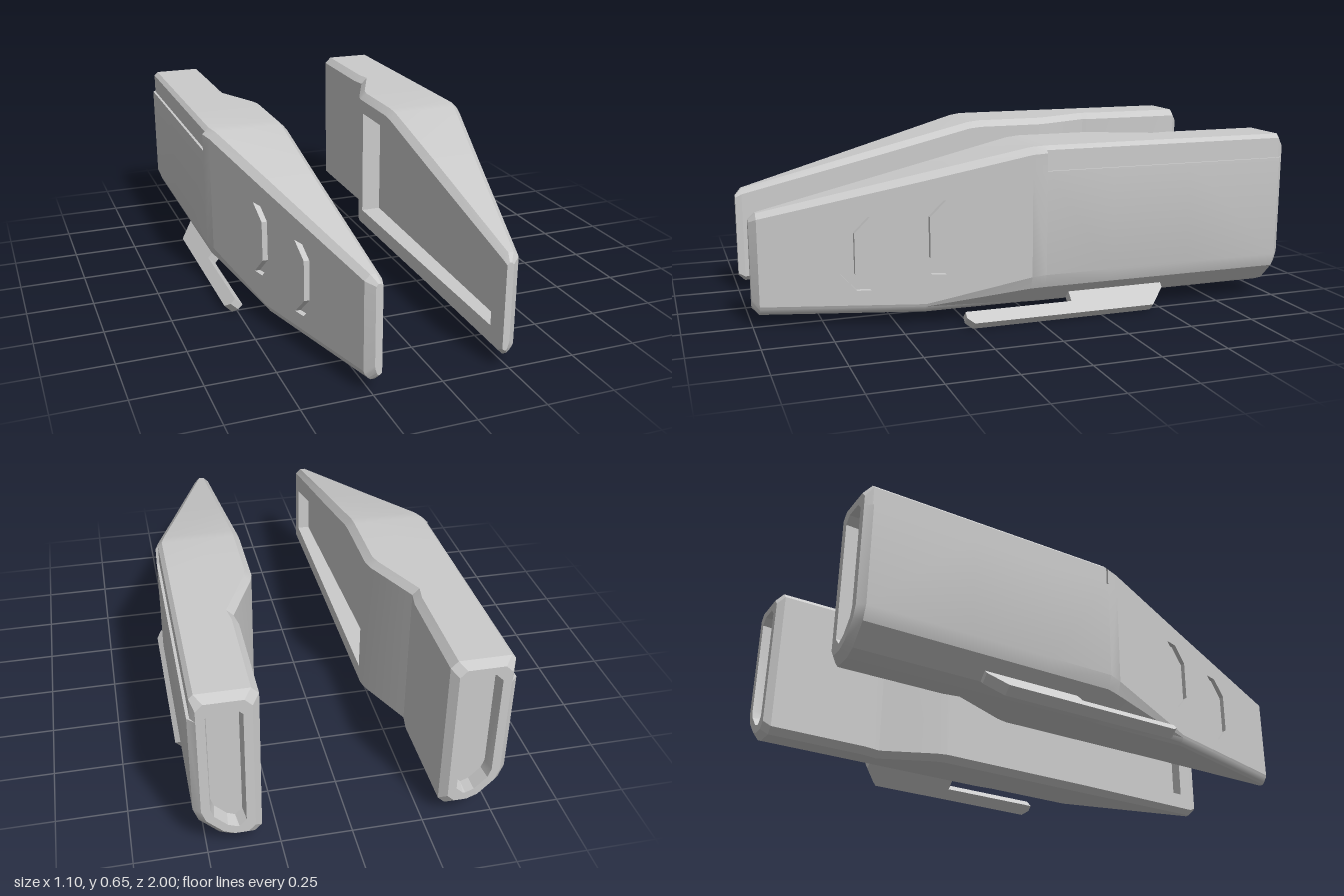
import * as THREE from 'three';
import { toCreasedNormals } from 'three/addons/utils/BufferGeometryUtils.js';

const grey = new THREE.MeshStandardMaterial({ color: 0xcccccc });
const quad = (out, a, b, c, d) => out.push(...a, ...b, ...c, ...a, ...c, ...d);

// Hull outline at one station, running up the inner side and down the outer side
function section({ z, xi, xo, top, bot = 0.045, e = 0, d = 0 }) {
  const t = THREE.MathUtils.clamp((0.4 - z) / 0.4, 0, 1);
  const w = Math.min(1, (xo - xi) / 0.06) * (1 - 6 * e);
  const k = Math.min(0.025, (xo - xi) / 3);
  xi += e; xo -= e; top -= e; bot += e;
  const m = Math.min(0.56, top - k - 0.02);
  const s = 1 - 6 * e;
  return [
    [xi + k, bot], [xi, bot + k], [xi, top - k], [xi + k, top],
    [xo - k, top], [xo - d, top - k + d], [xo - d, m], [xo, m],
    [xo, bot + (0.035 + 0.1 * t) * s],
    [xo - (0.003 + 0.015 * t) * w, bot + (0.025 + 0.06 * t) * s],
    [xo - (0.015 + 0.07 * t) * w, bot + (0.008 + 0.01 * t) * s],
    [xo - (0.025 + 0.105 * t) * w, bot],
  ].map(([x, y]) => [x, y, z]);
}

const outerX = z => 0.54 - 0.2663 * (z + 0.02);
const topY = z => 0.645 - 0.238 * (z - 0.03);
const rear = { xi: 0.31, xo: 0.54, top: 0.65 };
const stations = [
  { z: 1, xi: 0.22, xo: 0.245, top: 0.395, bot: 0.07 },
  ...[0.975, 0.4, 0.03].map(z => ({ z, xi: 0.215, xo: outerX(z), top: topY(z) })),
  { z: -0.02, ...rear, xi: 0.215 },
  { z: -0.02, ...rear, xi: 0.215, d: 0.01 },   // step into the sunken side strip
  { z: -0.28, ...rear, xi: 0.215, d: 0.01 },
  { z: -0.32, ...rear, xi: 0.225, d: 0.01 },
  { z: -0.53, ...rear, xi: 0.32, d: 0.01 },
  { z: -0.59, ...rear, d: 0.01 },
  { z: -0.975, ...rear, d: 0.01 },
  { z: -1, ...rear, e: 0.025 },                // bevelled rim
  { z: -1, ...rear, e: 0.055 },                // rear opening
  { z: -0.95, ...rear, e: 0.062 },
];

// Loft through the stations, leaving out the strips that carry openings
function hullTriangles() {
  const out = [];
  const rings = stations.map(section);
  const n = rings[0].length;
  for (let i = 0; i < rings.length - 1; i++) {
    const front = rings[i][0][2], back = rings[i + 1][0][2];
    for (let j = 0; j < n; j++) {
      if (front < 0.98 && j === 1 && back >= -0.281) continue;
      if (front < 0.98 && j === 7 && back >= 0.029) continue;
      const q = (j + 1) % n;
      quad(out, rings[i][j], rings[i][q], rings[i + 1][q], rings[i + 1][j]);
    }
  }
  const first = rings[0], last = rings[rings.length - 1];
  for (let j = 1; j < n - 1; j++) {
    out.push(...first[0], ...first[j + 1], ...first[j]);
    out.push(...last[0], ...last[j], ...last[j + 1]);
  }
  return out;
}

// Side wall in (z, y) with sunken pockets; side is -1 facing inward, +1 outward
function pocketWall(outline, holes, xAt, depthAt, side) {
  const out = [];
  const vec = list => list.map(p => new THREE.Vector2(p[0], p[1]));
  const surface = p => [xAt(p.x), p.y, p.x];
  const deep = p => [xAt(p.x) - side * depthAt(p.x), p.y, p.x];
  const fill = (contour, inner, place) => {
    const pts = [...contour, ...inner.flat()];
    for (const f of THREE.ShapeUtils.triangulateShape(contour, inner)) {
      const tri = f.map(i => pts[i]);
      if (THREE.ShapeUtils.area(tri) * side > 0) tri.reverse();
      tri.forEach(p => out.push(...place(p)));
    }
  };
  const loops = holes.map(vec);
  fill(vec(outline), loops, surface);
  for (const loop of loops) {
    fill(loop.slice(), [], deep);
    const edge = loop.slice();
    if (THREE.ShapeUtils.area(edge) * side > 0) edge.reverse();
    edge.forEach((p, i) => {
      const q = edge[(i + 1) % edge.length];
      quad(out, surface(p), surface(q), deep(q), deep(p));
    });
  }
  return out;
}

// Outline of a wall between two indices of the sections at the given stations
function wallOutline(list, low, high) {
  const rings = list.map(section);
  const pick = i => rings.map(r => [r[i][2], r[i][1]]);
  return [...pick(low), ...pick(high).reverse()];
}

// Angled mounting rail under the outer edge
function railTriangles() {
  const pts = [[0.28, 0.05], [0.28, 0.025], [0.255, 0], [-0.45, 0],
    [-0.51, 0.07], [-0.51, 0.115], [-0.13, 0.115], [-0.13, 0.05]];
  const shape = new THREE.Shape(pts.map(([z, v]) => new THREE.Vector2(-z, v)));
  const geo = new THREE.ExtrudeGeometry(shape, { depth: 0.04, bevelEnabled: false });
  const h = Math.SQRT1_2;
  geo.applyMatrix4(new THREE.Matrix4().makeBasis(
    new THREE.Vector3(0, 0, -1), new THREE.Vector3(-h, h, 0), new THREE.Vector3(h, h, 0)
  ).setPosition(0.52, 0, 0));
  const flat = geo.index ? geo.toNonIndexed() : geo;
  return Array.from(flat.attributes.position.array);
}

// Mesh from a triangle list, mirrored across x when sign is -1
function makeMesh(name, tris, sign) {
  const pos = tris.slice();
  if (sign < 0) {
    for (let i = 0; i < pos.length; i += 9) {
      const [a, b, c] = [0, 3, 6].map(o => [-tris[i + o], tris[i + o + 1], tris[i + o + 2]]);
      [...a, ...c, ...b].forEach((v, n) => { pos[i + n] = v; });
    }
  }
  const geo = new THREE.BufferGeometry();
  geo.setAttribute('position', new THREE.Float32BufferAttribute(pos, 3));
  geo.computeVertexNormals();
  const mesh = new THREE.Mesh(toCreasedNormals(geo, 0.35), grey);
  mesh.name = name;
  return mesh;
}

export function createModel() {
  const model = new THREE.Group();
  model.name = 'podPair';

  // Large pocket in the inner wall
  const innerWall = pocketWall(
    wallOutline(stations.slice(1, 7).filter(s => !s.d || s.z < -0.1), 1, 2),
    [[[0.92, 0.13], [-0.25, 0.13], [-0.25, 0.57], [0, 0.57], [0.92, 0.33]]],
    () => 0.215, z => 0.08 - 0.03 * THREE.MathUtils.clamp((z + 0.25) / 1.17, 0, 1), -1);

  // Two bent vent slots in the outer wall
  const vent = [[0.33, 0.46], [0.38, 0.46], [0.435, 0.4], [0.435, 0.25],
    [0.38, 0.19], [0.33, 0.19], [0.385, 0.25], [0.385, 0.4]];
  const outerWall = pocketWall(
    wallOutline(stations.slice(1, 4), 8, 7),
    [vent, vent.map(([z, y]) => [z + 0.26, y - 0.055])],
    outerX, () => 0.02, 1);

  const parts = { hull: hullTriangles(), innerWall, outerWall, mountingRail: railTriangles() };
  for (const [side, sign] of [['left', 1], ['right', -1]]) {
    const pod = new THREE.Group();
    pod.name = side + 'Pod';
    for (const [name, tris] of Object.entries(parts)) pod.add(makeMesh(name, tris, sign));
    model.add(pod);
  }
  return model;
}
